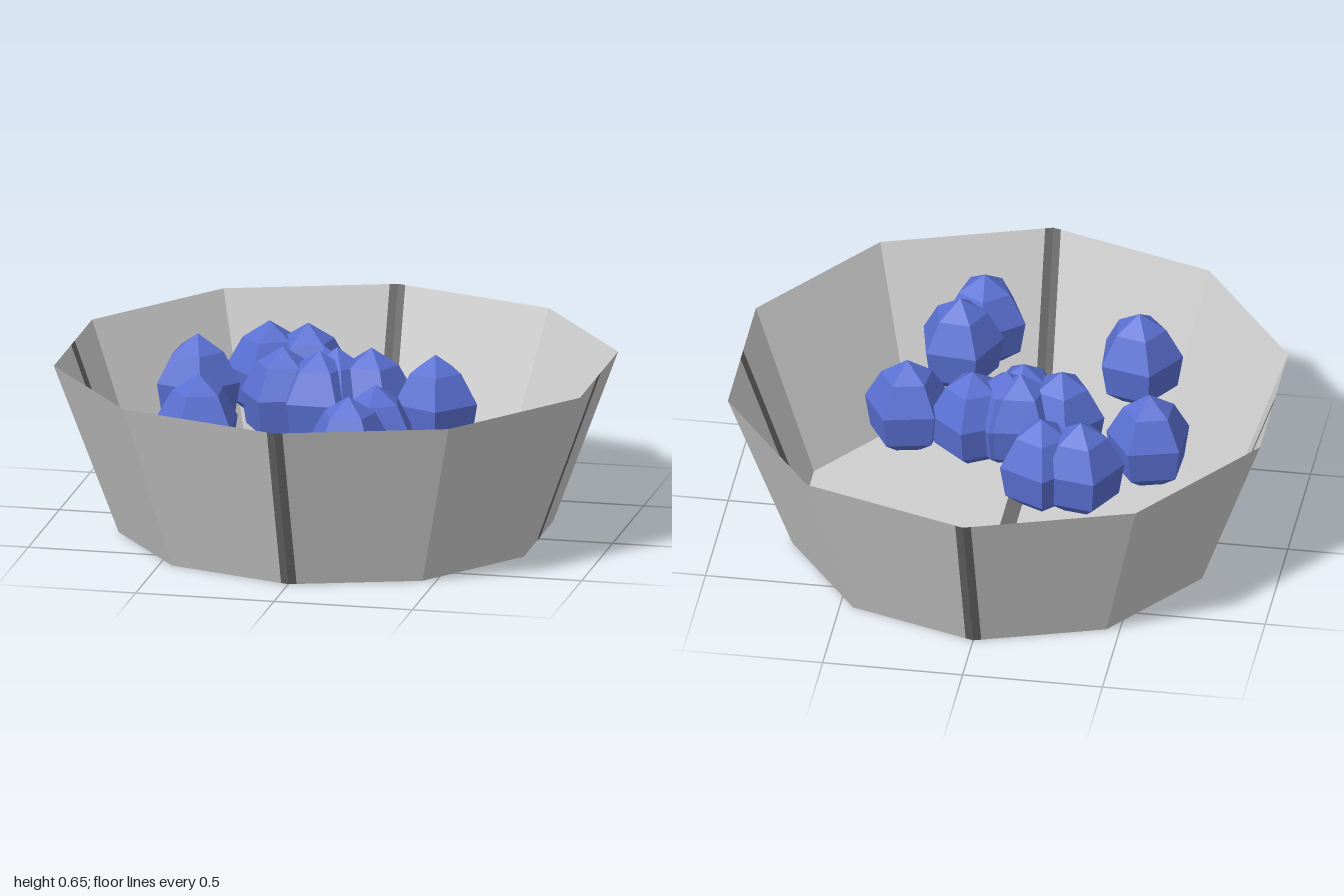
import * as THREE from 'three';

const HEIGHT = 0.615, TOP_R = 1, BASE_R = 0.77, W = 0.028;

const bowlGrey = new THREE.MeshStandardMaterial({ color: 0xcfcfcf, side: THREE.DoubleSide, flatShading: true });
bowlGrey.name = 'bowlGrey';
const bandGrey = new THREE.MeshStandardMaterial({ color: 0x6a6a6a, side: THREE.DoubleSide, flatShading: true });
bandGrey.name = 'bandGrey';
const berryBlue = new THREE.MeshStandardMaterial({ color: 0x5a70d2, side: THREE.DoubleSide, flatShading: true });
berryBlue.name = 'berryBlue';

// Ten-sided outline, with extra points where the bands meet the walls.
// A point marked "band" starts a band segment.
function ring(r, y) {
  const corner = k => new THREE.Vector3(Math.sin(k * Math.PI / 5) * r, y, Math.cos(k * Math.PI / 5) * r);
  const points = [];
  const add = (p, band) => points.push({ p, band });
  for (let k = 0; k < 10; k++) {
    const a = corner(k), b = corner(k + 1);
    const middle = k % 5 === 2;
    add(a, k % 5 === 0);
    if (k % 5 === 0) add(a.clone().lerp(b, W / Math.abs(b.x)), false);
    if (k % 5 === 4) add(b.clone().lerp(a, W / Math.abs(a.x)), true);
    if (middle) {
      const t = W / Math.abs(b.z - a.z);
      add(a.clone().lerp(b, 0.5 - t), true);
      add(a.clone().lerp(b, 0.5 + t), false);
    }
  }
  return points;
}

// Flat mesh made of convex polygons
function polygonMesh(name, polygons, material) {
  const triangles = [];
  for (const poly of polygons)
    for (let i = 1; i < poly.length - 1; i++) triangles.push(poly[0], poly[i], poly[i + 1]);
  const geometry = new THREE.BufferGeometry().setFromPoints(triangles);
  geometry.computeVertexNormals();
  const mesh = new THREE.Mesh(geometry, material);
  mesh.name = name;
  return mesh;
}

function makeBowl() {
  const bowl = new THREE.Group();
  bowl.name = 'bowl';
  const low = ring(BASE_R, 0), high = ring(TOP_R, HEIGHT);
  const walls = [], bands = [];
  low.forEach(({ p, band }, i) => {
    const j = (i + 1) % low.length;
    (band ? bands : walls).push([p, low[j].p, high[j].p, high[i].p]);
  });
  // Floor halves with the band between them
  const base = low.map(q => q.p), e = 1e-5;
  const halves = [base.filter(p => p.x > W - e), base.filter(p => p.x < -W + e)];
  const strip = base.filter(p => Math.abs(p.x) < W + e);
  const up = poly => poly;
  bowl.add(
    polygonMesh('bowlWalls', walls, bowlGrey),
    polygonMesh('wallBands', bands, bandGrey),
    polygonMesh('bowlFloor', halves.map(up), bowlGrey),
    polygonMesh('floorBand', [strip], bandGrey)
  );
  return bowl;
}

// Berries: x, z, turn in degrees
const BERRIES = [
  [-0.52, -0.09, 16], [-0.31, -0.31, 62], [-0.17, -0.31, 46],
  [-0.40, 0.43, 58], [0.24, 0.43, 66], [0.18, 0.60, 41],
  [0.36, 0, 12], [0.12, -0.04, 30], [-0.19, 0.01, 50],
  [-0.05, 0.04, 35], [-0.05, -0.03, 5], [0, -0.02, 20]
];

function makeBerries() {
  const berries = new THREE.Group();
  berries.name = 'berries';
  // Five-sided dome, widest below its middle
  const profile = [[0, -0.35], [0.07, -0.34], [0.135, -0.29], [0.155, -0.17], [0.095, -0.062], [0, 0]]
    .map(([r, y]) => new THREE.Vector2(r, y));
  const geometry = new THREE.LatheGeometry(profile, 5);
  BERRIES.forEach(([x, z, turn], i) => {
    const berry = new THREE.Mesh(geometry, berryBlue);
    berry.name = 'berry' + (i + 1);
    berry.position.set(x, 0.652, z);
    berry.rotation.y = THREE.MathUtils.degToRad(turn);
    berries.add(berry);
  });
  return berries;
}

export function createModel() {
  const model = new THREE.Group();
  model.name = 'berryBowl';
  model.add(makeBowl(), makeBerries());
  return model;
}
